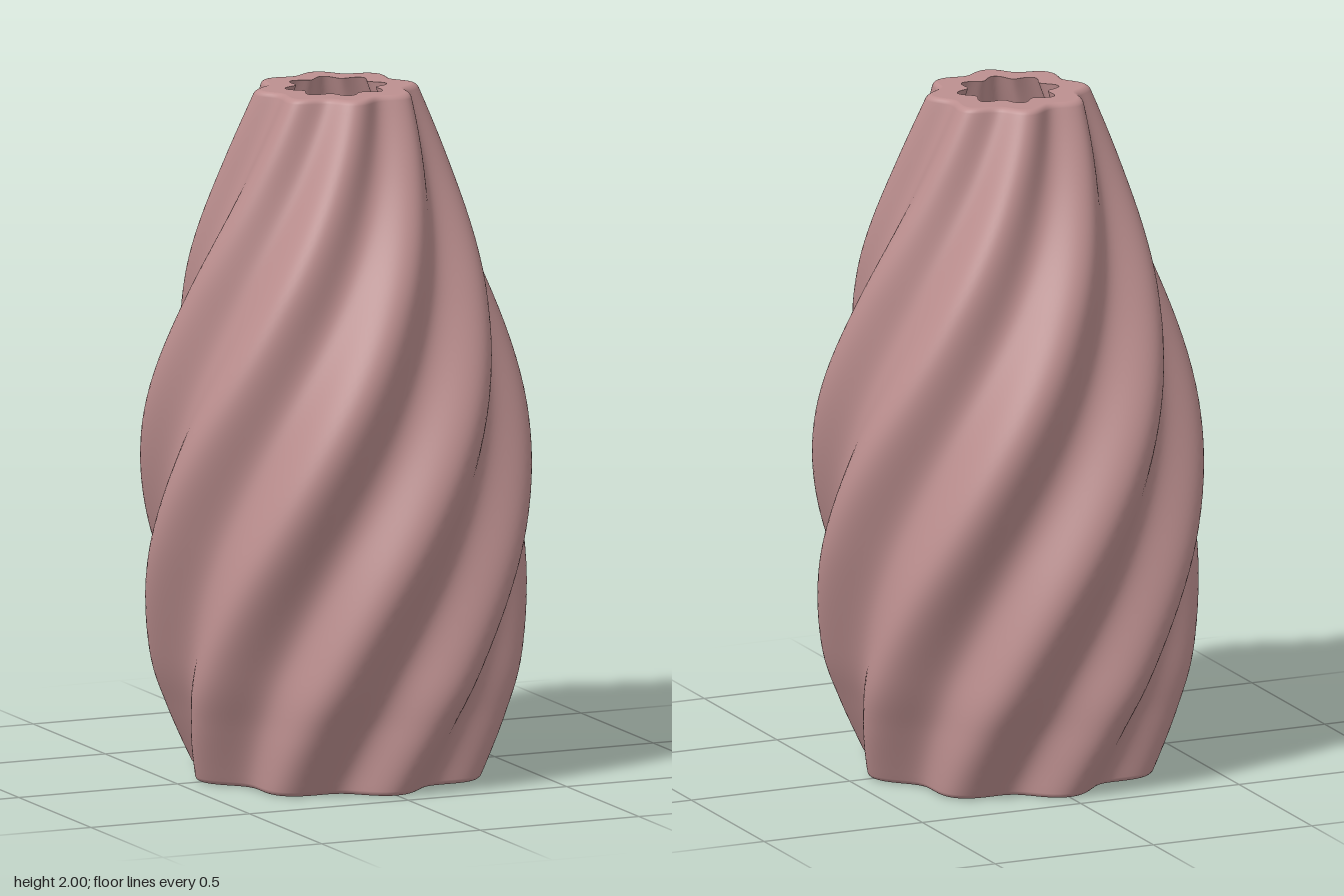
import * as THREE from 'three';

const LOBES = 8, SEGMENTS = 160, HEIGHT = 2;
const TWIST = THREE.MathUtils.degToRad(126);
const FLUTE = 0.08; // lobe depth as a share of the radius
const WALL = 0.088, FLOOR = 0.1;

// Mean radius along the height
const profile = new THREE.SplineCurve([
  [0, 0.402], [0.18, 0.455], [0.36, 0.497], [0.714, 0.53], [1.07, 0.508],
  [1.43, 0.422], [1.78, 0.3], [2, 0.221],
].map(([y, r]) => new THREE.Vector2(y, r)));
const table = profile.getPoints(400);

function radiusAt(y) {
  const i = Math.max(1, table.findIndex((p) => p.x >= y - 1e-9));
  const a = table[i - 1], b = table[i];
  return a.y + (b.y - a.y) * (y - a.x) / (b.x - a.x);
}

// One fluted ring: inset moves it inward, scale shrinks it towards the axis
function ring(y, inset = 0, scale = 1) {
  const r = radiusAt(y), turn = TWIST * y / HEIGHT, points = [];
  for (let j = 0; j < SEGMENTS; j++) {
    const a = j / SEGMENTS * Math.PI * 2;
    const d = (r * (1 + FLUTE * Math.cos(LOBES * (a - turn))) - inset) * scale;
    points.push(d * Math.sin(a), y, d * Math.cos(a));
  }
  return points;
}

// Skin a list of rings
function skin(rings, name, material) {
  const index = [];
  for (let i = 0; i < rings.length - 1; i++) {
    for (let j = 0; j < SEGMENTS; j++) {
      const k = (j + 1) % SEGMENTS;
      const a = i * SEGMENTS + j, b = i * SEGMENTS + k;
      const c = b + SEGMENTS, d = a + SEGMENTS;
      index.push(a, b, c, a, c, d);
    }
  }
  const geometry = new THREE.BufferGeometry();
  geometry.setAttribute('position', new THREE.Float32BufferAttribute(rings.flat(), 3));
  geometry.setIndex(index);
  geometry.computeVertexNormals();
  const mesh = new THREE.Mesh(geometry, material);
  mesh.name = name;
  return mesh;
}

const steps = (n, from, to) => Array.from({ length: n + 1 }, (_, i) => from + (to - from) * i / n);

export function createModel() {
  const clay = new THREE.MeshStandardMaterial({ color: 0xbc8f8f });
  clay.name = 'rosy clay';
  const vase = new THREE.Group();
  vase.name = 'twistedVase';

  // Outer wall with softly rounded foot and lip edges
  const R = 0.014;
  const arc = steps(5, 0, Math.PI / 2);
  const foot = arc.map((t) => ring(R * (1 - Math.sin(t)), R * (1 - Math.cos(t)))).reverse();
  const lip = arc.map((t) => ring(HEIGHT - R * (1 - Math.sin(t)), R * (1 - Math.cos(t))));
  const wall = steps(90, R, HEIGHT - R).slice(1, -1).map((y) => ring(y));
  vase.add(skin([...foot, ...wall, ...lip], 'outerWall', clay));

  // Flat rim between the lip and the opening
  vase.add(skin([ring(HEIGHT, R), ring(HEIGHT, WALL)], 'rim', clay));

  // Hollow inside that follows the outer twist
  vase.add(skin(steps(80, HEIGHT, FLOOR).map((y) => ring(y, WALL)), 'innerWall', clay));

  // Inside floor and underside
  vase.add(skin([ring(FLOOR, WALL), ring(FLOOR, WALL, 0)], 'innerFloor', clay));
  vase.add(skin([ring(0, R, 0), ring(0, R)], 'base', clay));
  return vase;
}
